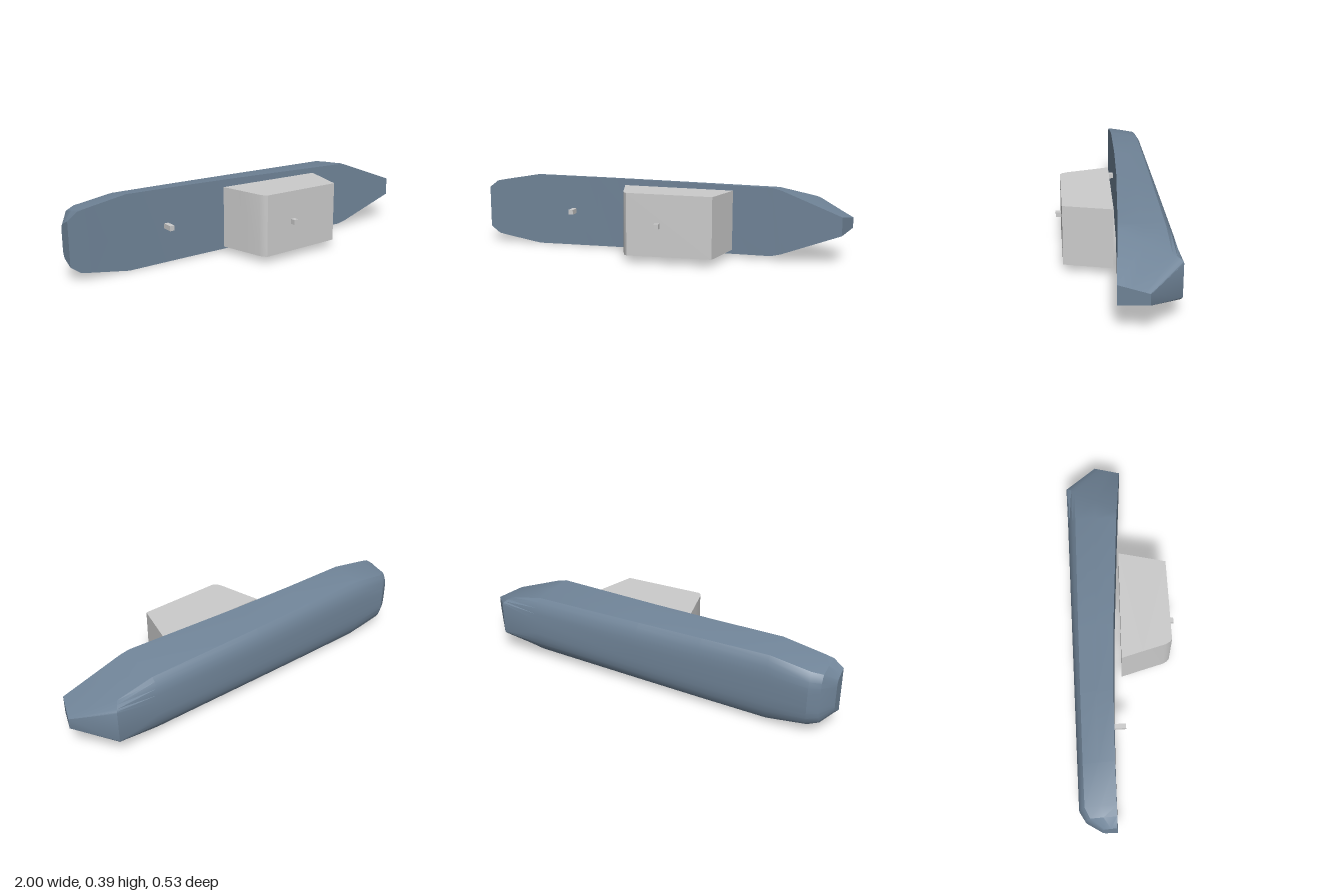
import * as THREE from 'three';
import { toCreasedNormals } from 'three/addons/utils/BufferGeometryUtils.js';

const MID = 0.197; // height of the hull's centreline

// Stations from stern to bow: deck x, keel x, deck z, keel z, half width, blend to the straight-sided end
const STATIONS = [
  [-1, -1, -0.085, -0.16, 0.112, 0.5],
  [-0.95, -0.95, -0.084, -0.238, 0.15, 0.1],
  [-0.9, -0.9, -0.083, -0.266, 0.16, 0],
  [-0.7, -0.7, -0.08, -0.266, 0.194, 0],
  [-0.35, -0.35, -0.069, -0.266, 0.19, 0],
  [0, 0, -0.05, -0.266, 0.185, 0],
  [0.6, 0.62, -0.003, -0.266, 0.176, 0],
  [0.65, 0.84, 0.002, -0.266, 0.163, 0.8],
  [0.95, 1, 0.03, -0.105, 0.047, 1],
];
// Half section: depth fraction, width fraction
const SECTION = [[0, 1], [0.42, 0.95], [0.83, 0.86], [0.9, 0.76], [0.96, 0.6], [0.99, 0.42], [1, 0.22]];

function hullGeometry() {
  const lerp = THREE.MathUtils.lerp;
  const pos = [], index = [];
  const n = SECTION.length * 2;
  for (const [xd, xk, zd, zk, w, t] of STATIONS) {
    const half = SECTION.map(([v, f]) => [lerp(xd, xk, v), w * lerp(f, 1 - 0.43 * v, t), lerp(zd, zk, v)]);
    for (const [x, y, z] of half) pos.push(x, MID + y, z);
    for (const [x, y, z] of half.reverse()) pos.push(x, MID - y, z);
  }
  const last = STATIONS.length - 1;
  for (let i = 0; i < last; i++) {
    for (let j = 0; j < n; j++) {
      const k = (j + 1) % n;
      const a = i * n + j, b = a + n, c = i * n + k, d = c + n;
      index.push(a, b, c, b, d, c);
    }
  }
  // Transom and bow face
  for (let j = 1; j < n - 1; j++) {
    index.push(0, j, j + 1);
    index.push(last * n, last * n + j + 1, last * n + j);
  }
  const g = new THREE.BufferGeometry();
  g.setAttribute('position', new THREE.Float32BufferAttribute(pos, 3));
  g.setIndex(index);
  return toCreasedNormals(g, 0.5);
}

export function createModel() {
  const group = new THREE.Group();
  const blue = new THREE.MeshStandardMaterial({ color: 0x708498 });
  const grey = new THREE.MeshStandardMaterial({ color: 0xcccccc });
  const add = (name, geometry, material) => {
    const mesh = new THREE.Mesh(geometry, material);
    mesh.name = name;
    group.add(mesh);
    return mesh;
  };

  add('hull', hullGeometry(), blue);

  // Deckhouse: side profile extruded across the hull, narrowing slightly to the bow
  const profile = new THREE.Shape([
    [-0.18, -0.02], [0.4, -0.003], [0.365, 0.14], [0.34, 0.24],
    [-0.095, 0.24], [-0.108, 0.228], [-0.12, 0.205], [-0.15, 0.09],
  ].map(([x, z]) => new THREE.Vector2(x, z)));
  const house = new THREE.ExtrudeGeometry(profile, { depth: 0.32, bevelEnabled: false });
  house.rotateX(Math.PI / 2).translate(0, 0.16, 0);
  const p = house.attributes.position;
  for (let i = 0; i < p.count; i++) p.setY(i, MID + p.getY(i) * (1 - 0.06 * (p.getX(i) + 0.18)));
  add('deckhouse', toCreasedNormals(house, 0.5), grey);

  // Small posts on the aft deck and the deckhouse roof
  for (const [name, x, z0, z1] of [['aftPost', -0.49, -0.09, -0.015], ['roofPost', 0.065, 0.235, 0.268]]) {
    add(name, new THREE.BoxGeometry(0.024, 0.026, z1 - z0), grey).position.set(x, MID, (z0 + z1) / 2);
  }
  return group;
}
